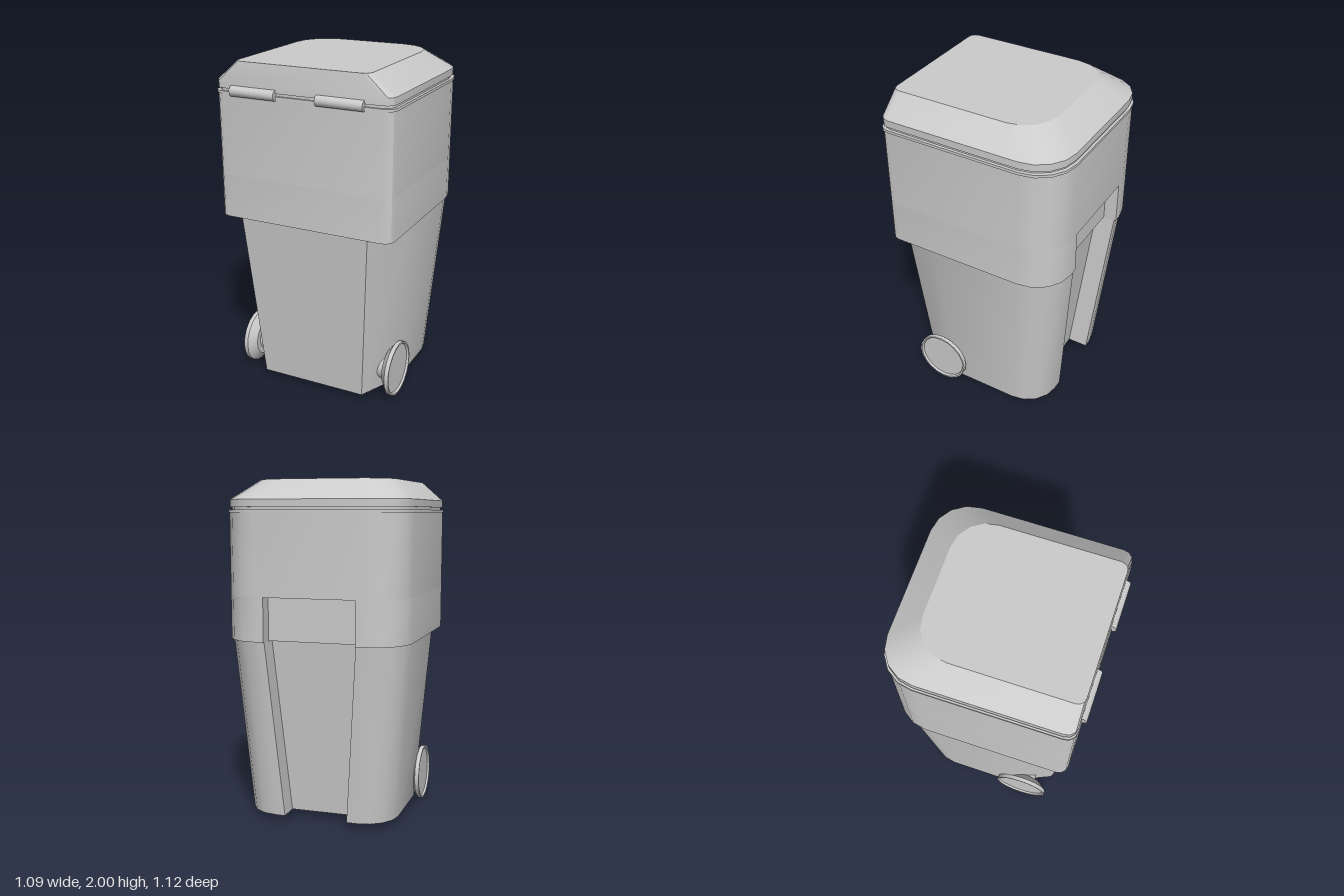
import * as THREE from 'three';
import { toCreasedNormals } from 'three/addons/utils/BufferGeometryUtils.js';

const material = new THREE.MeshStandardMaterial({ color: 0xcccccc });

// Corner arc in plan, as [x, z] points, from angle a to a + 90 degrees
function arc(cx, cz, r, a, steps) {
  const pts = [];
  for (let i = 0; i <= steps; i++) {
    const t = a + (i / steps) * Math.PI / 2;
    pts.push([cx + r * Math.cos(t), cz - r * Math.sin(t)]);
  }
  return pts;
}

// Plan outline: big round corners at -z, small round or long chamfered corners at +z,
// and an optional slot cut into the -z side
function plan({ w, back, front, rBack = 0.22, rFront = 0.06, chamfer, slot }) {
  const corner = chamfer
    ? [[w - chamfer[0], front], [w, front - chamfer[1]]]
    : arc(w - rFront, front - rFront, rFront, -Math.PI / 2, 3);
  const half = [...corner, ...arc(w - rBack, back + rBack, rBack, 0, 4)];
  if (slot) half.push([slot[0], back], [slot[0], back + slot[1]]);
  return [...half, ...half.map(([x, z]) => [-x, z]).reverse()];
}

// Skin between plan outlines at rising heights, with optional end caps
function loft(name, sections, capBottom = true, capTop = true) {
  const rings = sections.map((s) => plan(s).map(([x, z]) => [x, s.y, z]));
  const pos = [];
  const n = rings[0].length;
  for (let k = 0; k + 1 < rings.length; k++) {
    for (let i = 0; i < n; i++) {
      const j = (i + 1) % n;
      const [a, b, c, d] = [rings[k][i], rings[k][j], rings[k + 1][j], rings[k + 1][i]];
      pos.push(...a, ...b, ...c, ...a, ...c, ...d);
    }
  }
  const cap = (ring, up) => {
    const flat = ring.map(([x, , z]) => new THREE.Vector2(x, -z));
    for (const [a, b, c] of THREE.ShapeUtils.triangulateShape(flat, [])) {
      pos.push(...ring[a], ...ring[up ? b : c], ...ring[up ? c : b]);
    }
  };
  if (capBottom) cap(rings[0], false);
  if (capTop) cap(rings[rings.length - 1], true);
  let geo = new THREE.BufferGeometry();
  geo.setAttribute('position', new THREE.Float32BufferAttribute(pos, 3));
  geo = toCreasedNormals(geo, 0.47);
  const mesh = new THREE.Mesh(geo, material);
  mesh.name = name;
  return mesh;
}

// Wheel turned around the x axis, with a tapered inner side and hub
function wheel(side) {
  const profile = [
    [0, 0.483], [0.15, 0.483], [0.157, 0.495], [0.167, 0.495],
    [0.167, 0.47], [0.115, 0.43], [0.08, 0.43], [0.08, 0.34], [0, 0.34],
  ].map(([r, h]) => new THREE.Vector2(r, h)).reverse();
  const geo = toCreasedNormals(new THREE.LatheGeometry(profile, 20), 0.5);
  const mesh = new THREE.Mesh(geo, material);
  mesh.rotation.z = -side * Math.PI / 2;
  mesh.position.set(0, 0.172, 0.25);
  mesh.name = side > 0 ? 'leftWheel' : 'rightWheel';
  return mesh;
}

export function createModel() {
  const group = new THREE.Group();

  // Tapered lower body with chamfered wheel corners and a lifting slot
  group.add(loft('lowerBody', [
    { y: 0.04, w: 0.45, back: -0.45, front: 0.425, rBack: 0.2, chamfer: [0.12, 0.27], slot: [0.19, 0.125] },
    { y: 1.085, w: 0.53, back: -0.545, front: 0.52, chamfer: [0.13, 0.28], slot: [0.27, 0.12] },
  ], true, false));

  // Upper body: a band with a shallower slot, then a plain band
  const upper = { w: 0.542, back: -0.556, front: 0.53 };
  group.add(loft('upperBodySlotted', [
    { ...upper, y: 1.085, slot: [0.27, 0.08] },
    { ...upper, y: 1.34, slot: [0.27, 0.08] },
  ], true, false));
  group.add(loft('upperBody', [{ ...upper, y: 1.34 }, { ...upper, y: 1.815 }]));

  // Thin lip around the opening and the seam under the lid
  const lip = { w: 0.547, back: -0.561, front: 0.534 };
  group.add(loft('rimLip', [{ ...lip, y: 1.812 }, { ...lip, y: 1.828 }]));
  const seam = { w: 0.53, back: -0.545, front: 0.522 };
  group.add(loft('lidSeam', [{ ...seam, y: 1.825 }, { ...seam, y: 1.848 }], false, false));

  // Lid with sloping sides and an upright hinge face
  const lid = { w: 0.54, back: -0.553, front: 0.53 };
  group.add(loft('lid', [
    { ...lid, y: 1.843 },
    { ...lid, y: 1.885 },
    { y: 2, w: 0.407, back: -0.39, front: 0.525, rBack: 0.2, rFront: 0.045 },
  ]));

  // Hinge barrels
  for (const x of [-0.288, 0.242]) {
    const geo = toCreasedNormals(new THREE.CylinderGeometry(0.031, 0.031, 0.28, 16), 0.5);
    const hinge = new THREE.Mesh(geo, material);
    hinge.rotation.z = Math.PI / 2;
    hinge.position.set(x, 1.832, 0.528);
    hinge.name = 'hinge';
    group.add(hinge);
  }

  group.add(wheel(1), wheel(-1));
  return group;
}
